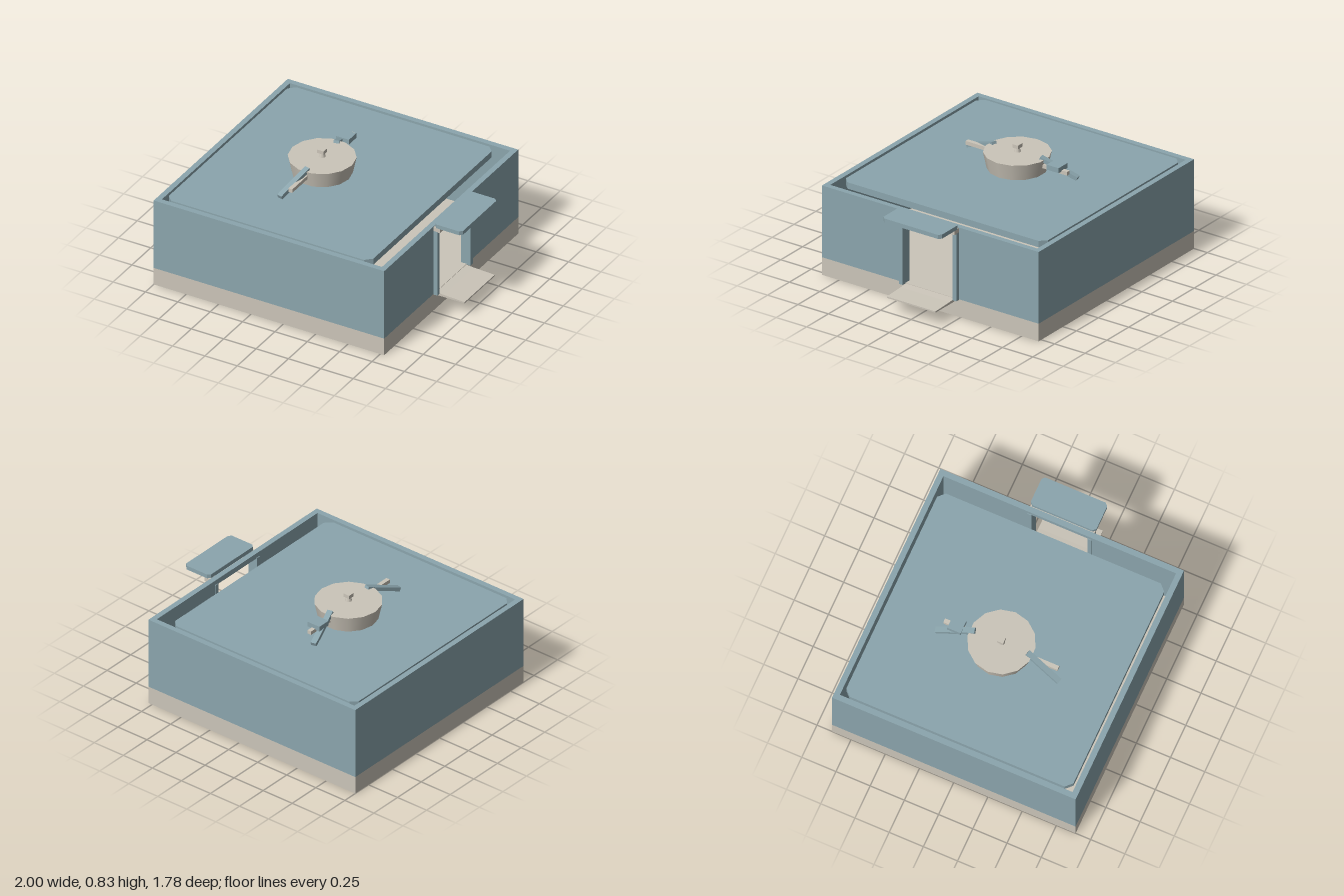
import * as THREE from 'three';

export function createModel() {
  const model = new THREE.Group();
  const blue = new THREE.MeshStandardMaterial({ color: 0x8ba5ad });
  blue.name = 'greyBlue';
  const beige = new THREE.MeshStandardMaterial({ color: 0xcbc5b9 });
  beige.name = 'beige';

  const add = (name, geometry, material) => {
    const mesh = new THREE.Mesh(geometry, material);
    mesh.name = name;
    model.add(mesh);
    return mesh;
  };

  // Box given by its extents on each axis
  const box = (name, [x0, x1], [y0, y1], [z0, z1], material) => {
    const mesh = add(name, new THREE.BoxGeometry(x1 - x0, y1 - y0, z1 - z0), material);
    mesh.position.set((x0 + x1) / 2, (y0 + y1) / 2, (z0 + z1) / 2);
    return mesh;
  };

  // Flat plate with chamfered corners, symmetric in z
  const plate = (name, x0, x1, halfZ, chamfer, y0, y1, material) => {
    const c = chamfer;
    const shape = new THREE.Shape([
      [x0 + c, -halfZ], [x1 - c, -halfZ], [x1, -halfZ + c], [x1, halfZ - c],
      [x1 - c, halfZ], [x0 + c, halfZ], [x0, halfZ - c], [x0, -halfZ + c],
    ].map(([x, y]) => new THREE.Vector2(x, y)));
    const geometry = new THREE.ExtrudeGeometry(shape, { depth: y1 - y0, bevelEnabled: false });
    geometry.rotateX(-Math.PI / 2).translate(0, y0, 0);
    return add(name, geometry, material);
  };

  // Square bar between two points
  const bar = (name, from, to, width, height, material) => {
    const a = new THREE.Vector3(...from), b = new THREE.Vector3(...to);
    const mesh = add(name, new THREE.BoxGeometry(width, height, a.distanceTo(b)), material);
    mesh.position.copy(a).lerp(b, 0.5);
    mesh.lookAt(b);
    return mesh;
  };

  // Foundation, whose top is also the interior floor
  box('foundation', [-1, 0.78], [0, 0.13], [-0.89, 0.89], beige);

  // Hollow walls, with a doorway in the left one
  const wallY = [0.13, 0.66];
  box('rightWall', [-1, -0.96], wallY, [-0.89, 0.89], blue);
  box('frontWall', [-0.96, 0.74], wallY, [0.85, 0.89], blue);
  box('backWall', [-0.96, 0.74], wallY, [-0.89, -0.85], blue);
  for (const s of [-1, 1]) {
    const z = [0.22 * s, 0.89 * s].sort((a, b) => a - b);
    box('doorWall', [0.74, 0.78], wallY, z, blue);
  }
  box('wallOverDoor', [0.74, 0.78], [0.62, 0.66], [-0.22, 0.22], blue);

  // Door frame, lintel, canopy and ramp
  for (const s of [-1, 1]) {
    const z = [0.205 * s, 0.235 * s].sort((a, b) => a - b);
    box('doorPost', [0.735, 0.81], [0.125, 0.625], z, blue);
  }
  box('lintel', [0.78, 0.83], [0.622, 0.656], [-0.235, 0.235], beige);
  plate('canopy', 0.785, 1, 0.24, 0.02, 0.656, 0.686, blue);
  const rampSide = new THREE.Shape([
    [0.78, 0.105], [1, 0.105], [1, 0.115], [0.84, 0.122], [0.78, 0.127],
  ].map(([x, y]) => new THREE.Vector2(x, y)));
  const ramp = new THREE.ExtrudeGeometry(rampSide, { depth: 0.4, bevelEnabled: false });
  add('ramp', ramp.translate(0, 0, -0.2), beige);

  // Roof slab, set inside the walls
  plate('roofSlab', -0.945, 0.635, 0.83, 0.045, 0.61, 0.657, blue);

  // Round roof drum with its knob
  const cx = -0.217;
  const drum = add('drum', new THREE.CylinderGeometry(0.231, 0.205, 0.12, 14), beige);
  drum.rotation.y = Math.PI / 2;
  drum.position.set(cx, 0.715, 0);
  const neck = add('knobNeck', new THREE.CylinderGeometry(0.014, 0.026, 0.04, 8), beige);
  neck.position.set(cx, 0.79, 0);
  box('knob', [cx - 0.025, cx + 0.025], [0.805, 0.831], [-0.023, 0.023], beige);

  // Straight rods and sloping arms on both sides of the drum
  for (const s of [-1, 1]) {
    bar('rod', [-0.22, 0.727, 0.17 * s], [-0.22, 0.727, 0.417 * s], 0.03, 0.027, beige);
    bar('arm', [-0.218, 0.78, 0.19 * s], [-0.283, 0.675, 0.45 * s], 0.04, 0.028, blue);
  }
  box('rodBlock', [-0.27, -0.17], [0.733, 0.77], [-0.373, -0.275], blue);

  return model;
}
